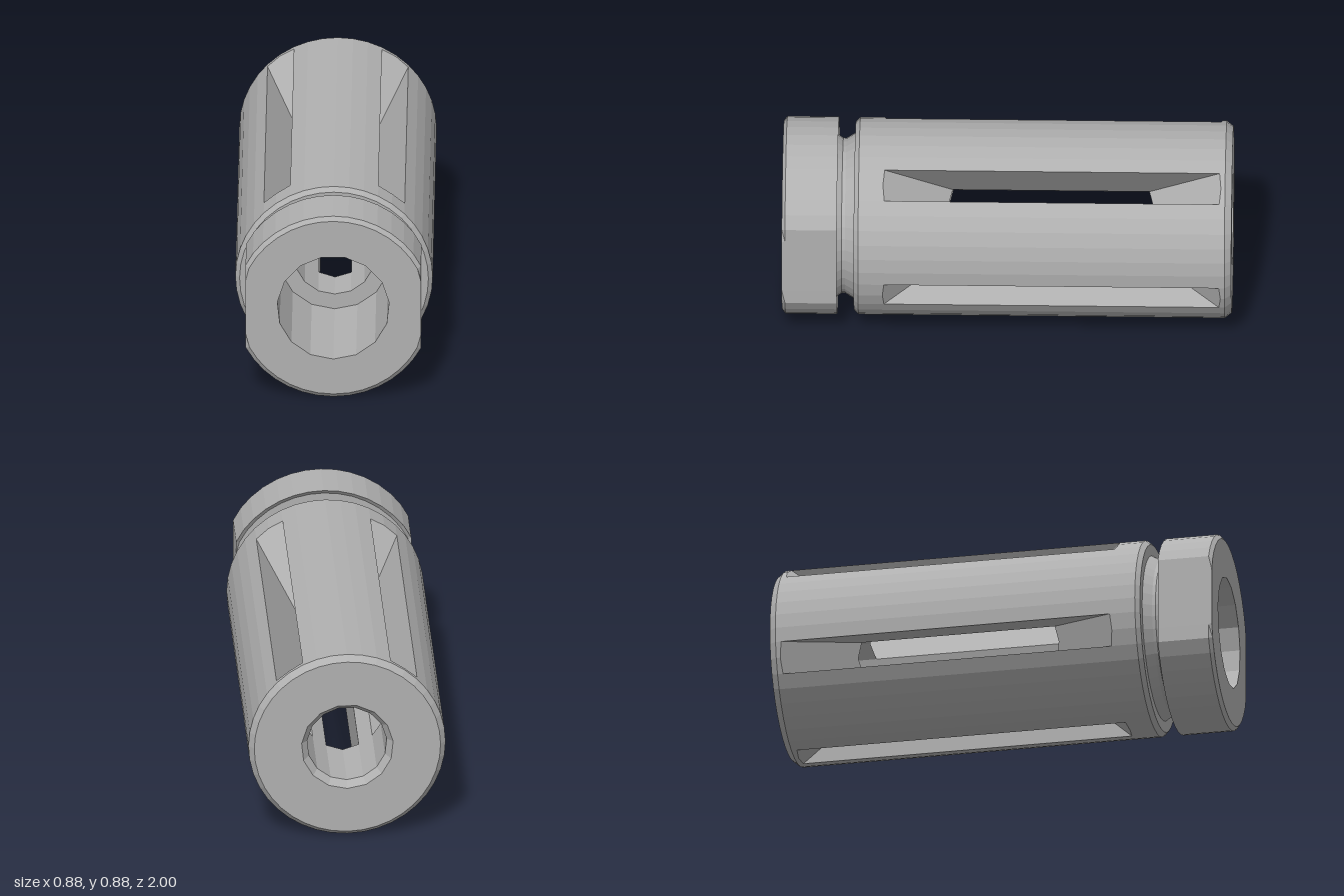
import * as THREE from 'three';

const R = 0.439, CY = 0.439;        // outer radius, axis height
const BORE = 0.178, SOCKET = 0.25;  // small rear bore, wide front socket
const STEP_Z = 0.45;                // where socket meets bore
const D = Math.PI / 180;
const B0 = 24 * D;                  // bore facet angle
const W = BORE * Math.sin(B0);      // slot half width
const A0 = Math.asin(W / R);        // slot edge angle on the outside
const XO = R * Math.cos(A0), XI = BORE * Math.cos(B0);
const FLAT = 0.39;                  // wrench flats on the collar

const slotAngles = [0, 1, 2, 3, 4].map(k => (-90 + 72 * k) * D);
const s = (36 * D - A0) / 3;
const outerAngles = slotAngles.flatMap(c =>
  [-36 * D, -A0 - 2 * s, -A0 - s, -A0, 0, A0, A0 + s, A0 + 2 * s].map(a => c + a));
const boreAngles = Array.from({ length: 15 }, (_, i) => (-90 + 24 * i) * D);

// Point on the tube; the collar is clipped to its two flats
function polar(r, a, z) {
  let x = r * Math.cos(a);
  if (z > 0.7) x = THREE.MathUtils.clamp(x, -FLAT, FLAT);
  return [x, CY + r * Math.sin(a), z];
}

// Fan a polygon into triangles
function poly(out, pts) {
  for (let i = 1; i < pts.length - 1; i++) out.push(...pts[0], ...pts[i], ...pts[i + 1]);
}

// Sweep a [radius, z] profile round a list of angles
function sweep(out, profile, angles) {
  for (let i = 0; i < profile.length - 1; i++) {
    const [r0, z0] = profile[i], [r1, z1] = profile[i + 1];
    angles.forEach((a, j) => {
      const b = angles[(j + 1) % angles.length];
      poly(out, [polar(r0, a, z0), polar(r0, b, z0), polar(r1, b, z1), polar(r1, a, z1)]);
    });
  }
}

export function createModel() {
  const group = new THREE.Group();
  const steel = new THREE.MeshStandardMaterial({ color: 0xb0b0b0, flatShading: true });
  steel.name = 'grey steel';

  function add(name, geometry) {
    const mesh = new THREE.Mesh(geometry, steel);
    mesh.name = name;
    group.add(mesh);
    return mesh;
  }
  function addTriangles(name, out) {
    const g = new THREE.BufferGeometry();
    g.setAttribute('position', new THREE.Float32BufferAttribute(out, 3));
    g.computeVertexNormals();
    add(name, g);
  }

  // Collar with flats, V-shaped neck and the front shoulder of the body
  const collar = [];
  sweep(collar, [[R, 0.66], [0.42, 0.68], [0.37, 0.68], [0.345, 0.72], [0.345, 0.735], [0.37, 0.77],
    [0.42, 0.77], [R, 0.755], [R, 0.985], [0.42, 1]], outerAngles);
  addTriangles('collarAndNeck', collar);

  // Front socket down to its step
  const socket = [];
  sweep(socket, [[SOCKET, 1], [SOCKET, STEP_Z], [BORE, STEP_Z]], boreAngles);
  addTriangles('frontSocket', socket);

  // Rear chamfers, outside and inside
  const rear = [];
  sweep(rear, [[0.415, -1], [R, -0.97]], outerAngles);
  sweep(rear, [[BORE, -0.965], [0.205, -1]], boreAngles);
  addTriangles('rearChamfers', rear);

  // Slot ramps: z as a function of distance from the axis
  const kf = 0.3 / (XO - XI), kb = 0.315 / (XO - XI);
  const front = x => 0.245 + kf * (x - XI);
  const back = x => -0.63 - kb * (x - XI);

  const skin = [], bore = [], slots = [];
  for (const c of slotAngles) {
    // Solid strips between the slots
    for (let i = 0; i < 6; i++) {
      const a = c + A0 + i * (72 * D - 2 * A0) / 6, b = a + (72 * D - 2 * A0) / 6;
      poly(skin, [polar(R, a, -0.97), polar(R, b, -0.97), polar(R, b, 0.66), polar(R, a, 0.66)]);
    }
    const a = c + B0, b = c + 2 * B0;
    poly(bore, [polar(BORE, a, STEP_Z), polar(BORE, b, STEP_Z), polar(BORE, b, -0.965), polar(BORE, a, -0.965)]);

    // Skin and bore beyond the two ends of the slot
    for (const side of [-1, 0]) {
      const ends = (r, w, z0, z1) => {
        const a0 = c + side * w, a1 = a0 + w;
        const x = t => r * Math.cos(t - c);
        return [
          [polar(r, a0, z0), polar(r, a1, z0), polar(r, a1, back(x(a1))), polar(r, a0, back(x(a0)))],
          [polar(r, a0, front(x(a0))), polar(r, a1, front(x(a1))), polar(r, a1, z1), polar(r, a0, z1)]];
      };
      ends(R, A0, -0.97, 0.66).forEach(p => poly(skin, p));
      ends(BORE, B0, -0.965, STEP_Z).forEach(p => poly(bore, p.reverse()));
    }

    // Slot walls and sloping ends
    const at = (x, y, z) => [
      x * Math.cos(c) - y * Math.sin(c), CY + x * Math.sin(c) + y * Math.cos(c), z];
    const wall = y => [at(XO, y, front(XO)), at(XI, y, front(XI)), at(XI, y, back(XI)), at(XO, y, back(XO))];
    const ramp = f => [[BORE, 0], [XI, -W], [XO, -W], [R, 0], [XO, W], [XI, W]].map(([x, y]) => at(x, y, f(x)));
    poly(slots, wall(W));
    poly(slots, wall(-W).reverse());
    poly(slots, ramp(back));
    const [first, ...rest] = ramp(front);
    poly(slots, [first, ...rest.reverse()]);
  }
  addTriangles('slottedBody', skin);
  addTriangles('bore', bore);
  addTriangles('slotWalls', slots);

  // Flat end faces with a round hole
  function endFace(name, r, hole, z) {
    const ring = (radius, angles) => angles.map(a => new THREE.Vector2(...polar(radius, a, z)));
    const shape = new THREE.Shape(ring(r, outerAngles));
    shape.holes.push(new THREE.Path(ring(hole, boreAngles)));
    const mesh = add(name, new THREE.ShapeGeometry(shape));
    mesh.position.z = z;
    if (z < 0) mesh.rotation.y = Math.PI;
  }
  endFace('frontFace', 0.42, SOCKET, 1);
  endFace('rearFace', 0.415, 0.205, -1);

  return group;
}
